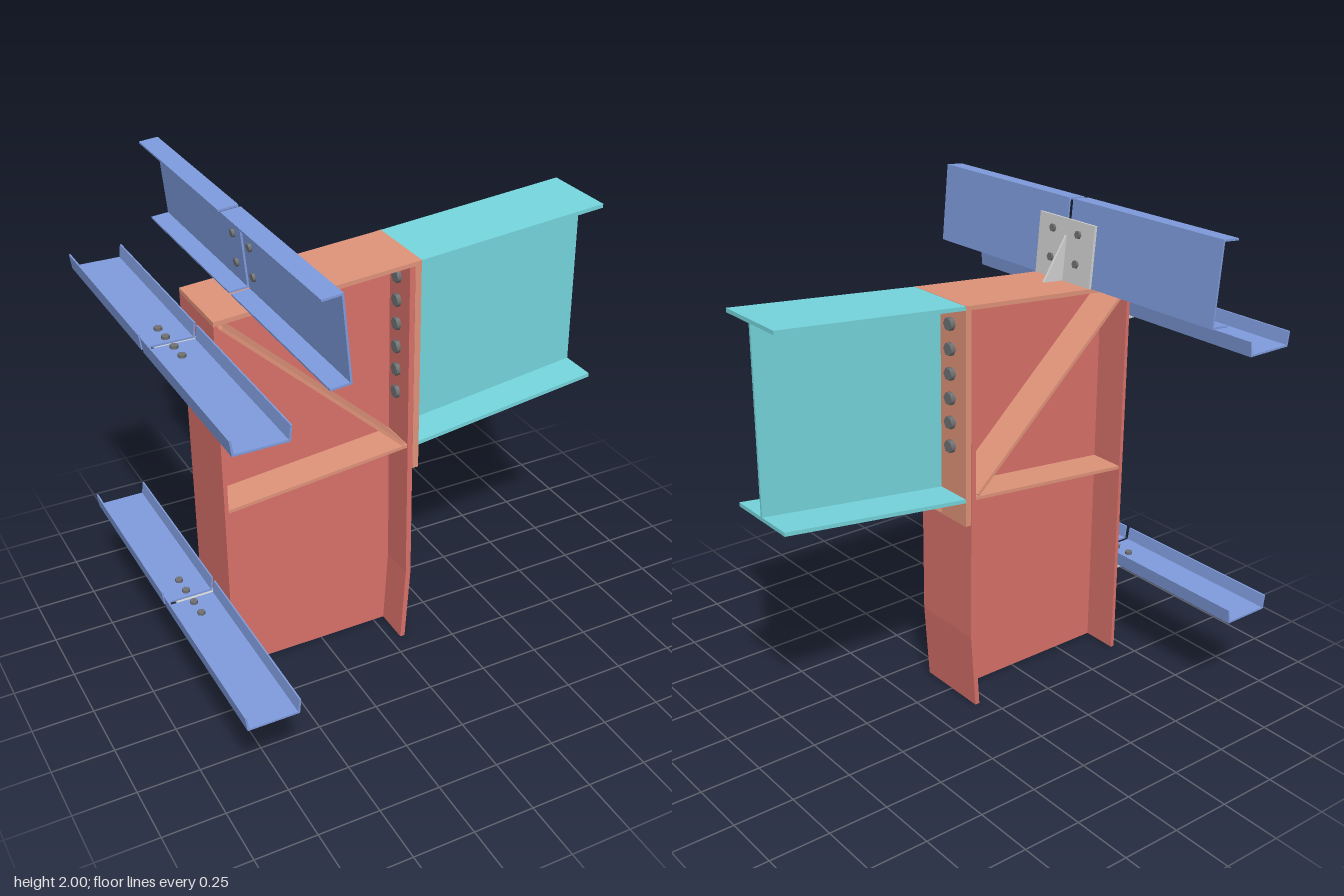
import * as THREE from 'three';

const mat = (name, color) => {
  const m = new THREE.MeshStandardMaterial({ color });
  m.name = name;
  return m;
};

export function createModel() {
  const red = mat('columnRed', 0xda716a);
  const orange = mat('plateOrange', 0xe0947a);
  const teal = mat('rafterTeal', 0x76d6de);
  const blue = mat('purlinBlue', 0x7f9cde);
  const grey = mat('clipGrey', 0xd2d2d2);
  const steel = mat('boltSteel', 0x707274);

  const model = new THREE.Group();
  model.name = 'portalFrameKnee';

  // Side profile (x, y) extruded from z0 to z1
  const prism = (parent, name, pts, z0, z1, material) => {
    const shape = new THREE.Shape(pts.map(([x, y]) => new THREE.Vector2(x, y)));
    const geo = new THREE.ExtrudeGeometry(shape, { depth: z1 - z0, bevelEnabled: false });
    geo.translate(0, 0, z0);
    const mesh = new THREE.Mesh(geo, material);
    mesh.name = name;
    parent.add(mesh);
    return mesh;
  };

  // Hexagonal bolt; tilt turns its axis from y about z
  const bolt = (parent, x, y, z, r, length, tilt) => {
    const mesh = new THREE.Mesh(new THREE.CylinderGeometry(r, r, length, 6).toNonIndexed(), steel);
    mesh.name = 'bolt';
    mesh.position.set(x, y, z);
    mesh.rotation.z = tilt;
    parent.add(mesh);
  };

  const W = 0.16; // half flange width

  // Column: web, outer flange, and inner flange with a kinked foot
  const column = new THREE.Group();
  column.name = 'column';
  model.add(column);
  prism(column, 'columnWeb', [[-0.692, 0], [0.052, 0], [0.072, 0.325], [0.072, 1.7], [-0.692, 1.642]], -0.006, 0.006, red);
  prism(column, 'outerFlange', [[-0.708, 0], [-0.692, 0], [-0.692, 1.642], [-0.708, 1.641]], -W, W, red);
  prism(column, 'innerFlange',
    [[0.048, 0], [0.068, 0], [0.092, 0.325], [0.092, 1.702], [0.07, 1.7], [0.07, 0.325]], -W, W, red);

  // Orange connection plates
  prism(model, 'capPlate', [[-0.708, 1.641], [0.093, 1.702], [0.093, 1.719], [-0.708, 1.659]], -W, W, orange);
  prism(model, 'endPlate', [[0.093, 0.83], [0.119, 0.83], [0.119, 1.722], [0.093, 1.719]], -W, W, orange);
  for (const [z0, z1] of [[0.006, 0.157], [-0.157, -0.006]]) {
    prism(model, 'stiffener', [[-0.692, 0.858], [0.07, 0.93], [0.07, 0.944], [-0.692, 0.872]], z0, z1, orange);
    prism(model, 'diagonalStiffener', [[-0.682, 1.622], [0.05, 0.942], [0.06, 0.952], [-0.672, 1.632]], z0, z1, orange);
  }
  prism(model, 'haunchGusset',
    [[0.119, 0.835], [0.3, 0.957], [0.15, 0.939], [0.119, 0.905]], -0.005, 0.005, orange);

  // Rafter: tapered I section
  const rafter = new THREE.Group();
  rafter.name = 'rafter';
  model.add(rafter);
  prism(rafter, 'rafterTopFlange', [[0.119, 1.705], [0.922, 1.774], [0.922, 1.79], [0.119, 1.721]], -W, W, teal);
  prism(rafter, 'rafterBottomFlange', [[0.119, 0.932], [0.922, 1.031], [0.922, 1.047], [0.119, 0.948]], -W, W, teal);
  prism(rafter, 'rafterWeb', [[0.119, 0.945], [0.922, 1.044], [0.922, 1.776], [0.119, 1.707]], -0.005, 0.005, teal);

  // End plate bolts: two columns of six
  for (let i = 0; i < 6; i++)
    for (const s of [-1, 1]) bolt(model, 0.096, 1.635 - i * 0.098, s * 0.074, 0.026, 0.087, Math.PI / 2);

  // Two-piece channels, split over the frame centre line
  const halves = (parent, name, pts) => {
    prism(parent, name + 'Left', pts, 0.011, 0.8, blue);
    prism(parent, name + 'Right', pts, -0.8, -0.011, blue);
  };

  // Roof purlin with its clip, square to the roof slope
  const roof = new THREE.Group();
  roof.name = 'roofPurlin';
  roof.position.set(-0.495, 1.675, 0);
  roof.rotation.z = 0.085;
  model.add(roof);
  halves(roof, 'purlin', [[0, 0], [0, 0.325], [-0.078, 0.325], [-0.078, 0.317],
    [-0.008, 0.317], [-0.008, 0.008], [-0.08, 0.008], [-0.08, 0]]);
  prism(roof, 'purlinClip', [[0, 0], [0.012, 0], [0.012, 0.246], [0, 0.246]], -W, W, grey);
  prism(roof, 'clipGusset', [[0.012, 0], [0.108, 0], [0.012, 0.18]], -0.005, 0.005, grey);
  for (const y of [0.08, 0.196])
    for (const s of [-1, 1]) bolt(roof, 0.001, y, s * 0.074, 0.016, 0.042, Math.PI / 2);

  // Wall girts lying flat, open side up, on clips
  for (const y of [0.4, 1.525]) {
    const girt = new THREE.Group();
    girt.name = 'wallGirt';
    girt.position.y = y;
    model.add(girt);
    halves(girt, 'girt', [[-0.917, 0], [-0.715, 0], [-0.709, 0.06], [-0.715, 0.06],
      [-0.722, 0.008], [-0.91, 0.008], [-0.918, 0.06], [-0.925, 0.06]]);
    prism(girt, 'girtClip', [[-0.868, -0.011], [-0.708, -0.011], [-0.708, 0], [-0.868, 0]], -W, W, grey);
    for (const z of [-0.118, -0.042, 0.042, 0.118]) bolt(girt, -0.814, -0.001, z, 0.016, 0.042, 0);
  }

  return model;
}
